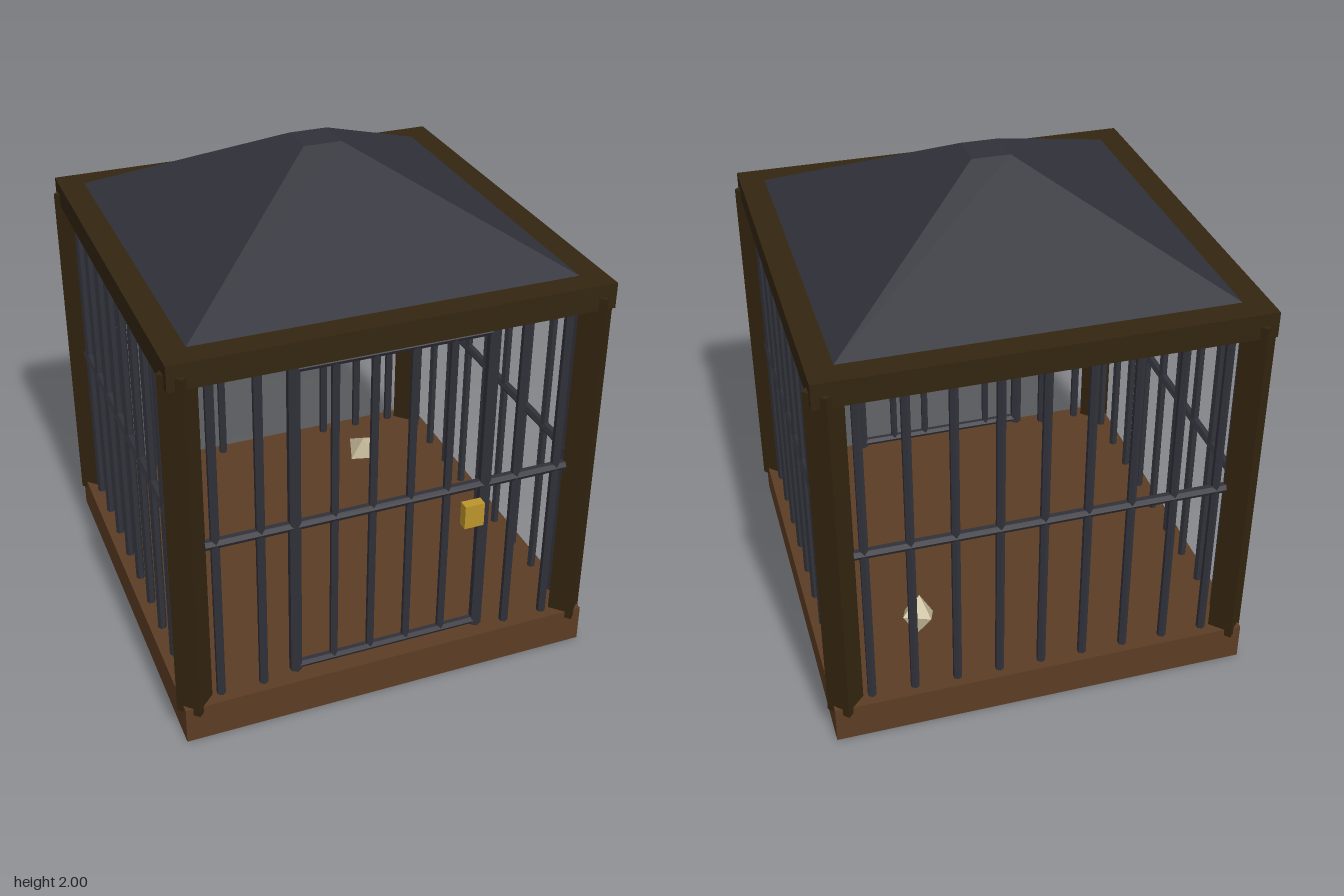
import * as THREE from 'three';

function material(name, color) {
  const m = new THREE.MeshStandardMaterial({ color, flatShading: true });
  m.name = name;
  return m;
}

export function createModel() {
  const group = new THREE.Group();
  const wood = material('floor wood', 0x5c3d24);
  const darkWood = material('dark wood', 0x332510);
  const iron = material('iron', 0x31313a);
  const brass = material('brass', 0xbc942c);
  const bone = material('pale stone', 0xc8bc9c);

  function add(parent, name, geometry, mat, x, y, z) {
    const mesh = new THREE.Mesh(geometry, mat);
    mesh.name = name;
    mesh.position.set(x, y, z);
    parent.add(mesh);
    return mesh;
  }
  // round iron rods, upright or lying along x
  function upright(parent, name, r, x, y0, y1) {
    return add(parent, name, new THREE.CylinderGeometry(r, r, y1 - y0, 6), iron, x, (y0 + y1) / 2, 0);
  }
  function level(parent, name, r, length, y) {
    const geometry = new THREE.CylinderGeometry(r, r, length, 6).rotateZ(Math.PI / 2);
    return add(parent, name, geometry, iron, 0, y, 0);
  }

  // floor and top slab
  add(group, 'floor', new THREE.BoxGeometry(1.67, 0.155, 1.67), wood, 0, 0.0775, 0);
  add(group, 'topFrame', new THREE.BoxGeometry(1.67, 0.1, 1.67), darkWood, 0, 1.585, 0);

  // truncated pyramid roof
  const roof = new THREE.CylinderGeometry(0.075 * Math.SQRT2, 0.735 * Math.SQRT2, 0.365, 4).rotateY(Math.PI / 4);
  add(group, 'roof', roof, iron, 0, 1.8175, 0);

  // four-sided corner posts set edge-on
  for (const x of [-0.785, 0.785])
    for (const z of [-0.785, 0.785])
      add(group, 'cornerPost', new THREE.CylinderGeometry(0.07, 0.07, 1.46, 4), darkWood, x, 0.855, z);

  // barred walls; the front one leaves room for the door
  ['front', 'left', 'back', 'right'].forEach((side, k) => {
    const wall = new THREE.Group();
    wall.name = side + 'Wall';
    const angle = k * Math.PI / 2;
    wall.rotation.y = angle;
    wall.position.set(Math.sin(angle) * 0.785, 0, Math.cos(angle) * 0.785);
    for (let i = -4; i <= 4; i++)
      if (k > 0 || Math.abs(i) > 2) upright(wall, 'bar', 0.018, i * 0.17, 0.15, 1.54);
    level(wall, 'middleRail', 0.02, 1.44, 0.855);
    group.add(wall);
  });

  // door
  const door = new THREE.Group();
  door.name = 'door';
  door.position.z = 0.785;
  for (const x of [-0.38, 0.38]) upright(door, 'doorStile', 0.025, x, 0.18, 1.53);
  for (const y of [0.2, 1.51]) level(door, 'doorRail', 0.018, 0.75, y);
  for (const x of [-0.225, -0.075, 0.075, 0.225]) upright(door, 'doorBar', 0.016, x, 0.2, 1.51);
  group.add(door);

  // padlock on the door
  add(group, 'padlock', new THREE.BoxGeometry(0.08, 0.1, 0.04), brass, 0.32, 0.75, 0.82);

  // small angular stone lying on the floor
  const stone = add(group, 'stone', new THREE.OctahedronGeometry(0.08), bone, 0.42, 0.225, -0.475);
  stone.rotation.set(0.3, 0.5, 0.2);

  return group;
}
